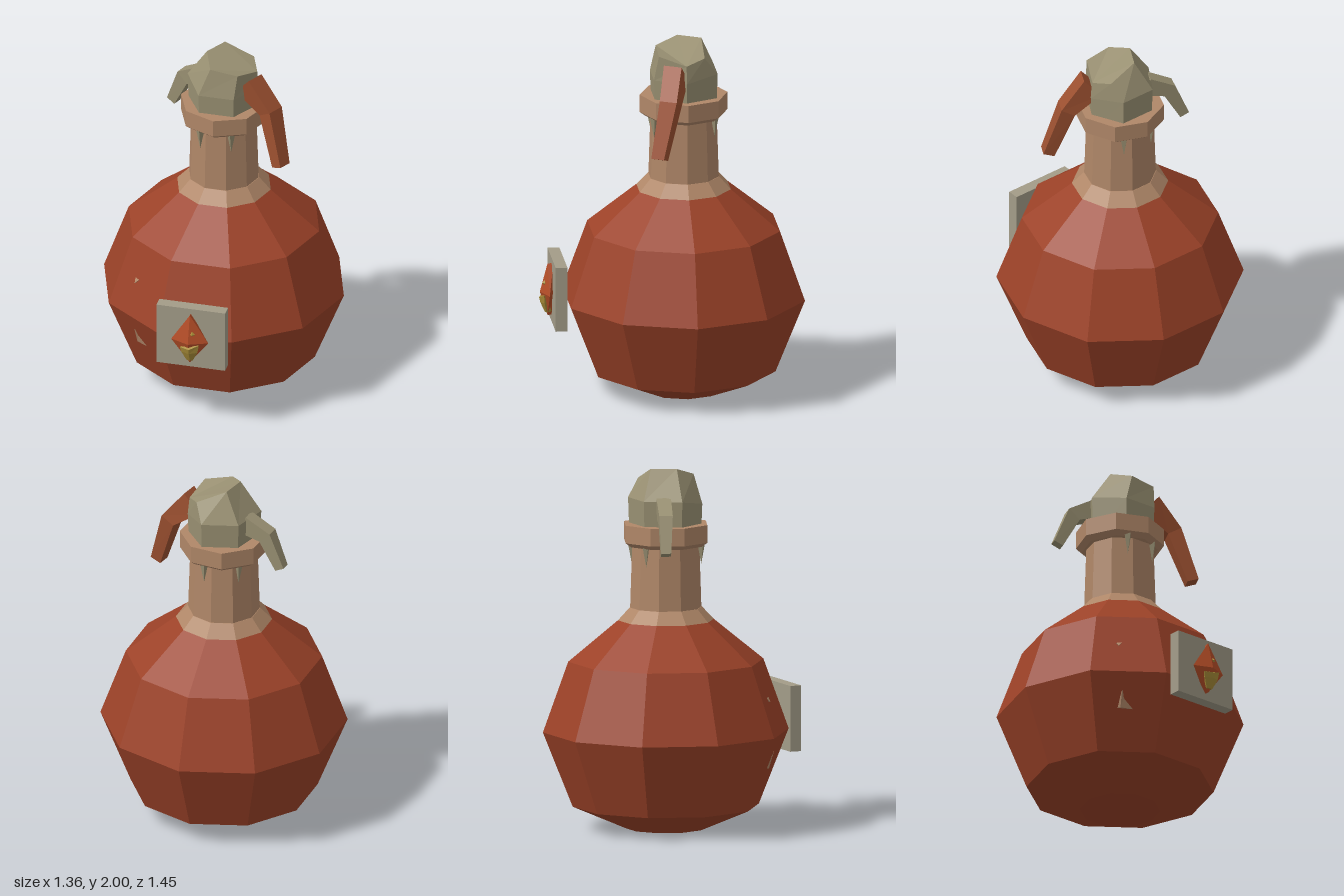
import * as THREE from 'three';

const V = (x, y, z) => new THREE.Vector3(x, y, z);
const mat = (color) => new THREE.MeshStandardMaterial({ color, flatShading: true });
const rust = mat(0x9c4228), clay = mat(0xb08768), stopperMat = mat(0x9a9173);
const leather = mat(0x9c5030), plaqueMat = mat(0xa39c88), gemMat = mat(0xb24c26), gold = mat(0xa88c38);
const AXIS_Z = -0.075; // the flask axis sits behind the centre because of the plaque

export function createModel() {
  const model = new THREE.Group();
  const add = (name, geometry, material, x = 0, y = 0, z = 0) => {
    const mesh = new THREE.Mesh(geometry, material);
    mesh.name = name;
    mesh.position.set(x, y, z);
    model.add(mesh);
    return mesh;
  };

  // Faceted turned part from [radius, y] pairs, with a corner on +x
  const turned = (name, profile, sides, material) =>
    add(name, new THREE.LatheGeometry(profile.map(([r, y]) => new THREE.Vector2(r, y)), sides, Math.PI / 2),
      material, 0, 0, AXIS_Z);

  // Skin over rings of corners, capped at both ends
  const loft = (rings) => {
    const pos = [], n = rings[0].length;
    const tri = (...pts) => pts.forEach((p) => pos.push(p.x, p.y, p.z));
    for (let i = 0; i + 1 < rings.length; i++) {
      for (let j = 0; j < n; j++) {
        const k = (j + 1) % n, a = rings[i], b = rings[i + 1];
        tri(a[j], a[k], b[k]);
        tri(a[j], b[k], b[j]);
      }
    }
    const first = rings[0], last = rings[rings.length - 1];
    for (let j = 1; j + 1 < n; j++) {
      tri(first[0], first[j + 1], first[j]);
      tri(last[0], last[j], last[j + 1]);
    }
    const g = new THREE.BufferGeometry();
    g.setAttribute('position', new THREE.Float32BufferAttribute(pos, 3));
    g.computeVertexNormals();
    return g;
  };

  // Bent bar with a rectangular section; each station is [centre, width, thickness]
  const bar = (stations) => {
    const c = stations.map((s) => s[0]), end = c.length - 1;
    const run = c[end].clone().sub(c[0]);
    const u = V(-run.z, 0, run.x).normalize();
    return loft(stations.map(([p, w, h], i) => {
      const t = c[Math.min(i + 1, end)].clone().sub(c[Math.max(i - 1, 0)]).normalize();
      const v = t.cross(u).normalize();
      return [[1, 1], [-1, 1], [-1, -1], [1, -1]].map(([a, b]) =>
        p.clone().addScaledVector(u, a * w / 2).addScaledVector(v, b * h / 2));
    }));
  };

  // Flask: belly, shoulder ring, neck and lip
  turned('belly', [[0, 0], [0.22, 0], [0.515, 0.125], [0.68, 0.54], [0.54, 0.93], [0.265, 1.155]], 10, rust);
  turned('shoulderRing', [[0.265, 1.155], [0.2, 1.225], [0, 1.225]], 10, clay);
  turned('neck', [[0.198, 1.2], [0.185, 1.6]], 10, clay);
  turned('lip', [[0.17, 1.568], [0.21, 1.568], [0.243, 1.592], [0.243, 1.69], [0, 1.69]], 8, clay);

  // Stopper: lopsided six-sided lump
  const mid = [V(0.2, 1.8, -0.07), V(0.115, 1.83, -0.25), V(-0.09, 1.83, -0.25),
    V(-0.205, 1.83, -0.07), V(-0.1, 1.8, 0.1), V(0.1, 1.8, 0.1)];
  const top = [V(0.19, 1.9, -0.07), V(0.145, 1.93, -0.175), V(-0.02, 2, -0.175),
    V(-0.09, 2, -0.05), V(-0.04, 1.96, 0.075), V(0.115, 1.94, 0.075)];
  const low = mid.map((p) => V(p.x * 0.96, 1.6, AXIS_Z + (p.z - AXIS_Z) * 0.96));
  add('stopper', loft([low, mid, top]), stopperMat);

  // Drips running down from under the lip
  for (const [x, z] of [[-0.09, 0.098], [0.085, 0.098], [-0.09, -0.235], [0.1, -0.235]]) {
    const drip = add('drip', new THREE.ConeGeometry(0.024, 0.12, 4), stopperMat, x, 1.525, z);
    drip.rotation.x = Math.PI;
  }

  // Bent bars on the stopper's two sides
  add('stopperSpout', bar([[V(-0.12, 1.8, -0.145), 0.08, 0.11], [V(-0.245, 1.745, -0.19), 0.075, 0.085],
    [V(-0.325, 1.563, -0.225), 0.055, 0.055]]), stopperMat);
  add('lever', bar([[V(0.155, 1.855, -0.015), 0.105, 0.14], [V(0.292, 1.72, 0.03), 0.1, 0.085],
    [V(0.368, 1.425, 0.1), 0.075, 0.065]]), leather);

  // Plaque with a diamond-shaped gem
  add('plaque', new THREE.BoxGeometry(0.39, 0.365, 0.065), plaqueMat, 0, 0.588, 0.622);
  const ring = (y, s) => [V(0.105 * s, y, 0.677), V(0.035 * s, y, 0.645), V(-0.035 * s, y, 0.645),
    V(-0.105 * s, y, 0.677), V(0, y, 0.677 + 0.043 * s)];
  add('gem', loft([ring(0.445, 0.01), ring(0.58, 1), ring(0.74, 0.01)]), gemMat);

  // Gold inset on the lower half of the gem, and a small fleck above
  const inset = (y, s, z, tilt) => [V(0.058 * s, y + tilt, z), V(0.02 * s, y + tilt, z - 0.03),
    V(-0.03 * s, y, z - 0.03), V(-0.05 * s, y, z), V(0.005, y, z + 0.022 * s)];
  add('gemInset', loft([inset(0.465, 0.35, 0.686, 0), inset(0.52, 0.85, 0.699, 0.004),
    inset(0.55, 1, 0.703, 0.022)]), gold);
  add('gemFleck', new THREE.OctahedronGeometry(0.016), gold, 0.018, 0.635, 0.695);

  // Chips showing on the belly
  add('largeChip', loft([
    [V(-0.315, 0.345, 0.405), V(-0.33, 0.35, 0.35), V(-0.385, 0.35, 0.35), V(-0.375, 0.35, 0.375)],
    [V(-0.355, 0.46, 0.415), V(-0.34, 0.45, 0.36), V(-0.37, 0.44, 0.36), V(-0.385, 0.44, 0.4)],
  ]), clay);
  add('smallChip', new THREE.TetrahedronGeometry(0.022), clay, -0.378, 0.732, 0.365);

  return model;
}
